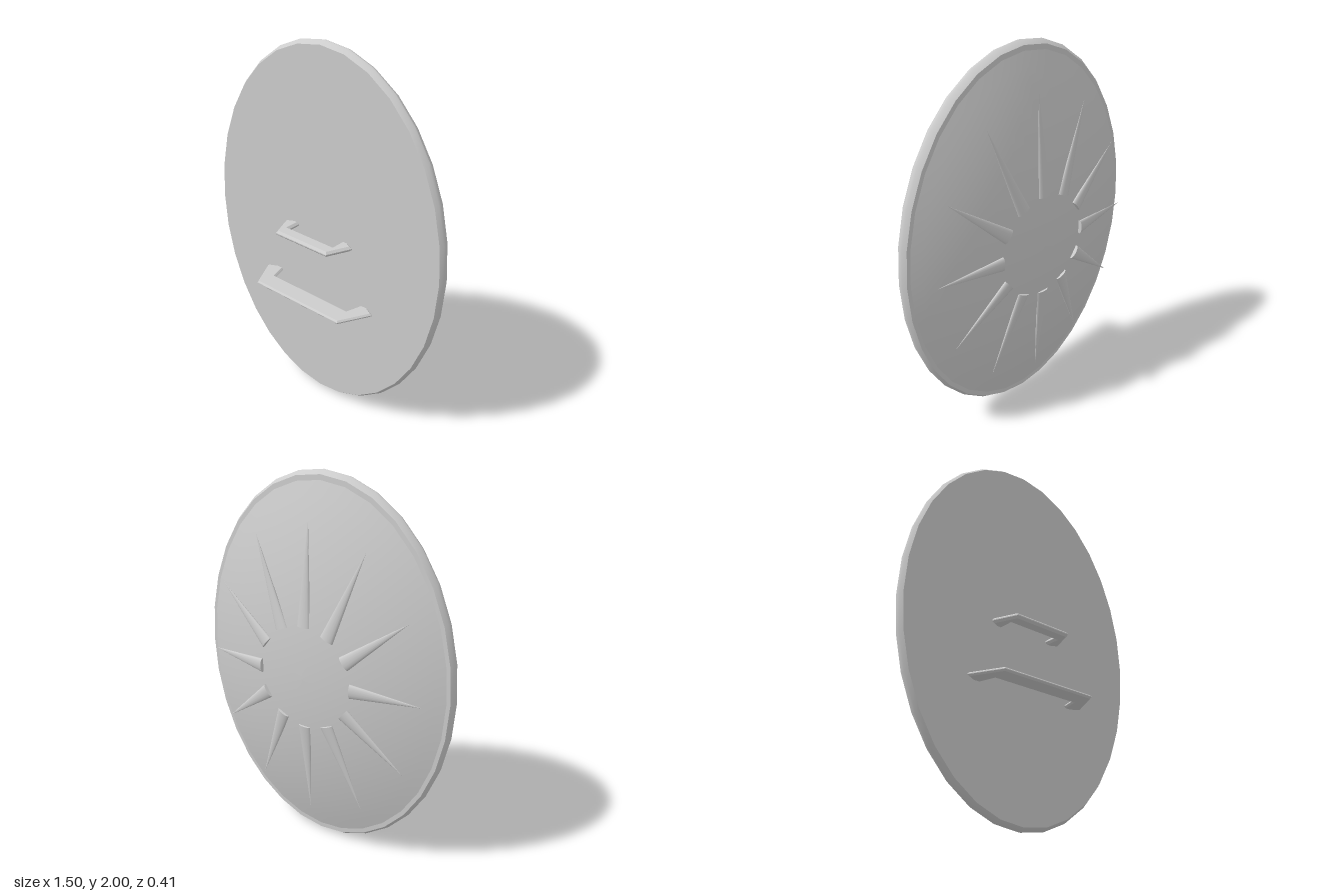
import * as THREE from 'three';
import { toCreasedNormals } from 'three/addons/utils/BufferGeometryUtils.js';

const SEGMENTS = 32;
const STRETCH = 1 / 0.75; // the oval is a circle stretched upwards

export function createModel() {
  const shield = new THREE.Group();
  shield.name = 'ovalShield';
  const metal = new THREE.MeshStandardMaterial({ color: 0xcccccc });
  metal.name = 'lightGrey';

  const add = (name, geometry) => {
    const mesh = new THREE.Mesh(geometry, metal);
    mesh.name = name;
    shield.add(mesh);
    return mesh;
  };

  // Turns a [radius, depth towards the back] profile into an oval part
  const oval = (profile) => {
    const points = profile.map(([r, d]) => new THREE.Vector2(r, d));
    return new THREE.LatheGeometry(points, SEGMENTS)
      .rotateX(-Math.PI / 2).scale(1, STRETCH, 1).translate(0, 1, 0);
  };

  // Flat front panel
  add('frontPanel', new THREE.CircleGeometry(0.736, SEGMENTS)
    .scale(1, STRETCH, 1).translate(0, 1, 0.016));

  // Bevelled rim
  add('rim', toCreasedNormals(oval([
    [0.735, -0.016], [0.747, 0.003], [0.75, 0.015], [0.747, 0.028], [0.735, 0.048], [0.7, 0.05],
  ]), 0.5));

  // Shallow domed back
  const dome = [];
  for (let i = 0; i <= 12; i++) {
    const t = 1 - i / 12;
    dome.push([0.725 * t, 0.045 + 0.162 * (1 - t * t)]);
  }
  add('dome', oval(dome));

  // Ring of flattened spikes spreading over the dome
  for (let i = 0; i < 12; i++) {
    const a = (i * Math.PI) / 6;
    const base = new THREE.Vector3(0.27 * Math.cos(a), 1 + 0.27 * Math.sin(a), -0.19);
    const tip = new THREE.Vector3(0.64 * Math.cos(a), 1 + 0.79 * Math.sin(a), -0.145);
    const along = tip.clone().sub(base);
    const length = along.length();
    along.normalize();
    const side = new THREE.Vector3(0, 0, 1).cross(along).normalize();
    const out = side.clone().cross(along);
    const cone = new THREE.ConeGeometry(1, length, 16).translate(0, length / 2, 0).scale(0.038, 1, 0.015);
    const frame = new THREE.Matrix4().makeBasis(side, along, out.negate());
    if (frame.determinant() < 0) frame.makeBasis(side.negate(), along, out);
    add('spike' + (i + 1), cone.applyMatrix4(frame.setPosition(base)));
  }

  // Grips on the front: a mirrored half outline in x and z, with bevelled edges
  const grip = (name, y, half, thickness) => {
    const outline = [...half, ...half.map(([x, z]) => [-x, z]).reverse()];
    const shape = new THREE.Shape(outline.map(([x, z]) => new THREE.Vector2(x, z)));
    const bevel = thickness * 0.4;
    const geometry = new THREE.ExtrudeGeometry(shape, {
      depth: thickness - 2 * bevel, bevelThickness: bevel, bevelSize: bevel,
      bevelOffset: -bevel, bevelSegments: 1,
    });
    geometry.rotateX(Math.PI / 2).translate(0, y + thickness / 2 - bevel, 0);
    add(name, geometry);
  };
  grip('upperGrip', 1.005,
    [[0.15, 0.09], [0.15, 0.01], [0.185, 0.01], [0.228, 0.033], [0.172, 0.165]], 0.028);
  grip('lowerGrip', 0.677,
    [[0.255, 0.1], [0.28, 0.01], [0.32, 0.01], [0.373, 0.038], [0.285, 0.207]], 0.02);

  return shield;
}
